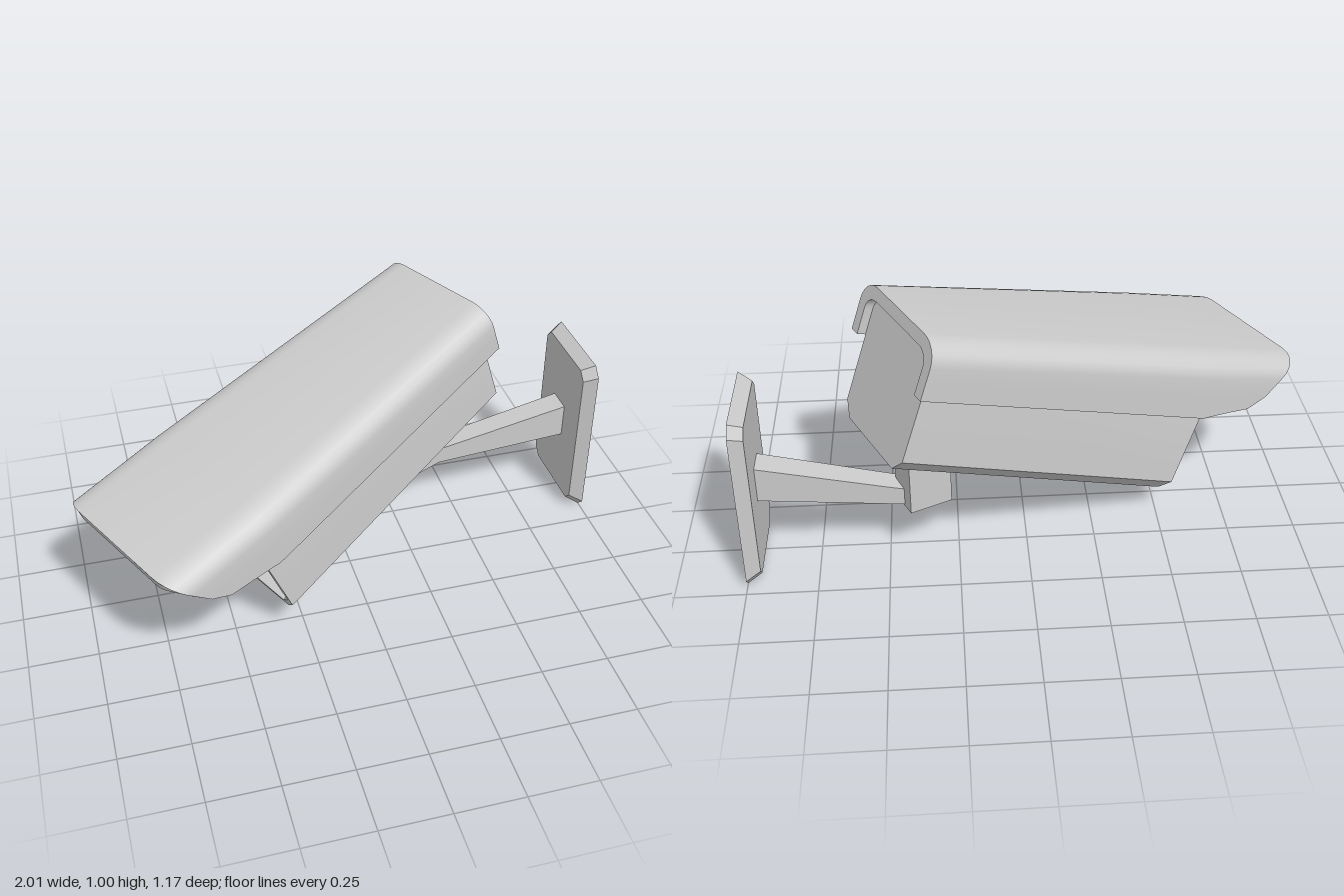
import * as THREE from 'three';
import { toCreasedNormals } from 'three/addons/utils/BufferGeometryUtils.js';

const material = new THREE.MeshStandardMaterial({ color: 0xcccccc });

function addMesh(parent, name, geometry) {
  const mesh = new THREE.Mesh(geometry, material);
  mesh.name = name;
  parent.add(mesh);
  return mesh;
}

// Skin a row of equal-length loops (counter-clockwise seen from +z), capping both ends
function loft(sections) {
  const n = sections[0].length;
  const index = [];
  for (let s = 0; s < sections.length - 1; s++) {
    for (let i = 0; i < n; i++) {
      const a = s * n + i, b = s * n + (i + 1) % n;
      index.push(a, b, b + n, a, b + n, a + n);
    }
  }
  const cap = (loop) => THREE.ShapeUtils.triangulateShape(loop.map(([x, y]) => new THREE.Vector2(x, y)), []);
  const last = (sections.length - 1) * n;
  for (const [a, b, c] of cap(sections[0])) index.push(c, b, a);
  for (const [a, b, c] of cap(sections[sections.length - 1])) index.push(last + a, last + b, last + c);
  const geometry = new THREE.BufferGeometry();
  geometry.setAttribute('position', new THREE.Float32BufferAttribute(sections.flat(2), 3));
  geometry.setIndex(index);
  return toCreasedNormals(geometry.toNonIndexed(), 0.5);
}

// Quarter-ellipse corner from the side (w, top - ry) up to the roof (w - rx, top)
function corner(w, top, rx, ry, steps = 6) {
  return Array.from({ length: steps + 1 }, (_, i) => {
    const a = (i / steps) * Math.PI / 2;
    return [w - rx + rx * Math.cos(a), top - ry + ry * Math.sin(a)];
  });
}

const mirror = (half) => half.map(([x, y]) => [-x, y]).reverse();

// Housing outline: chamfered bottom corners, rounded top corners
function housingLoop(w, bottom, top, chamfer, z, inset = 0) {
  const W = w - inset, B = bottom + inset, T = top - inset;
  const half = [[W - chamfer, B], [W, B + chamfer], ...corner(W, T, 0.06, 0.05)];
  return [...half, ...mirror(half)].map(([x, y]) => [x, y, z(y)]);
}

// Rectangle with chamfered corners
function plateLoop(w, h, chamfer, z) {
  const half = [[w - chamfer, -h], [w, -h + chamfer], [w, h - chamfer], [w - chamfer, h]];
  return [...half, ...mirror(half)].map(([x, y]) => [x, y, z]);
}

// Hood section: outer shell, then the inner shell back again
function hoodLoop(w, bottom, top, rx, z) {
  const t = 0.045, ry = 0.08;
  const side = (x, end) => [0, 0.16, 0.27, 0.57].map((f) => [x, bottom + f * (end - bottom)]);
  const outer = [...side(w, top - ry), ...corner(w, top, rx, ry)];
  const inner = [...side(w - t, top - t - 0.05), ...corner(w - t, top - t, 0.06, 0.05)];
  const depth = outer.map(([, y]) => z(y));
  const place = (half) => half.map(([x, y], i) => [x, y, depth[i]]);
  const flip = (half) => half.map(([x, y, d]) => [-x, y, d]).reverse();
  const o = place(outer), i = place(inner);
  return [...o, ...flip(o), ...[...i, ...flip(i)].reverse()];
}

// Curved cut of the visor, as depth by height
const visorCut = [[0.588, 0.33], [0.616, 0.44], [0.636, 0.53], [0.69, 0.595], [0.765, 0.64], [0.845, 0.70]];
function visorDepth(y) {
  for (let i = 1; i < visorCut.length; i++) {
    const [y0, z0] = visorCut[i - 1], [y1, z1] = visorCut[i];
    if (y <= y1 + 1e-6) return z0 + (z1 - z0) * (y - y0) / (y1 - y0);
  }
  return 0.70;
}

export function createModel() {
  const model = new THREE.Group();
  model.name = 'securityCamera';

  // Camera head, turned to the side and tipped down
  const head = new THREE.Group();
  head.name = 'cameraHead';
  head.rotation.set(THREE.MathUtils.degToRad(20), THREE.MathUtils.degToRad(-64.5), 0, 'YXZ');
  head.position.set(-0.042, 0, -0.088);
  model.add(head);

  // Housing with a recessed front
  const front = (offset) => (y) => 0.345 + (y - 0.26) * 0.06 + offset;
  addMesh(head, 'housing', loft([
    housingLoop(0.225, 0.277, 0.722, 0.05, () => -0.79),
    housingLoop(0.28, 0.24, 0.778, 0.053, front(0)),
    housingLoop(0.28, 0.24, 0.778, 0.05, front(0), 0.02),
    housingLoop(0.28, 0.24, 0.778, 0.05, front(-0.045), 0.025),
  ]));

  // Lens window: raised frame around a sunken pane
  addMesh(head, 'lensWindow', loft([
    housingLoop(0.18, 0.36, 0.70, 0.04, front(-0.05)),
    housingLoop(0.18, 0.36, 0.70, 0.04, front(-0.02), 0.01),
    housingLoop(0.18, 0.36, 0.70, 0.04, front(-0.02), 0.035),
    housingLoop(0.18, 0.36, 0.70, 0.04, front(-0.042), 0.045),
  ]));

  // Sun hood with a curved visor
  addMesh(head, 'sunHood', loft([
    hoodLoop(0.27, 0.575, 0.769, 0.09, () => -0.822),
    hoodLoop(0.33, 0.588, 0.825, 0.11, () => 0.3),
    hoodLoop(0.33, 0.588, 0.845, 0.105, visorDepth),
  ]));

  // Mounting pad under the housing
  const pad = addMesh(head, 'mountingPad', loft([
    plateLoop(0.10, 0.15, 0.04, -0.03),
    plateLoop(0.10, 0.15, 0.04, 0.01),
    plateLoop(0.085, 0.135, 0.035, 0.028),
  ]));
  pad.rotation.x = Math.PI / 2;
  pad.position.set(0, 0.253, -0.515);

  // Knuckle between pad and arm
  const knuckle = addMesh(model, 'knuckle', new THREE.BoxGeometry(0.12, 0.22, 0.16));
  knuckle.rotation.y = head.rotation.y;
  knuckle.position.set(0.37, 0.33, -0.275);

  // Arm, growing towards the wall
  const armLoop = (w, y0, y1, x) => [[-w, y0, x], [w, y0, x], [w, y1, x], [-w, y1, x]];
  const arm = addMesh(model, 'arm', loft([
    armLoop(0.042, 0.222, 0.285, 0.39),
    armLoop(0.043, 0.23, 0.30, 0.47),
    armLoop(0.05, 0.275, 0.41, 0.96),
  ]));
  arm.rotation.y = Math.PI / 2;
  arm.position.z = -0.275;

  // Wall plate with sloping edges
  const plate = addMesh(model, 'wallPlate', loft([
    plateLoop(0.18, 0.308, 0.033, 0.95),
    plateLoop(0.205, 0.335, 0.036, 1),
  ]));
  plate.rotation.y = Math.PI / 2;
  plate.position.set(0, 0.336, -0.27);

  return model;
}
